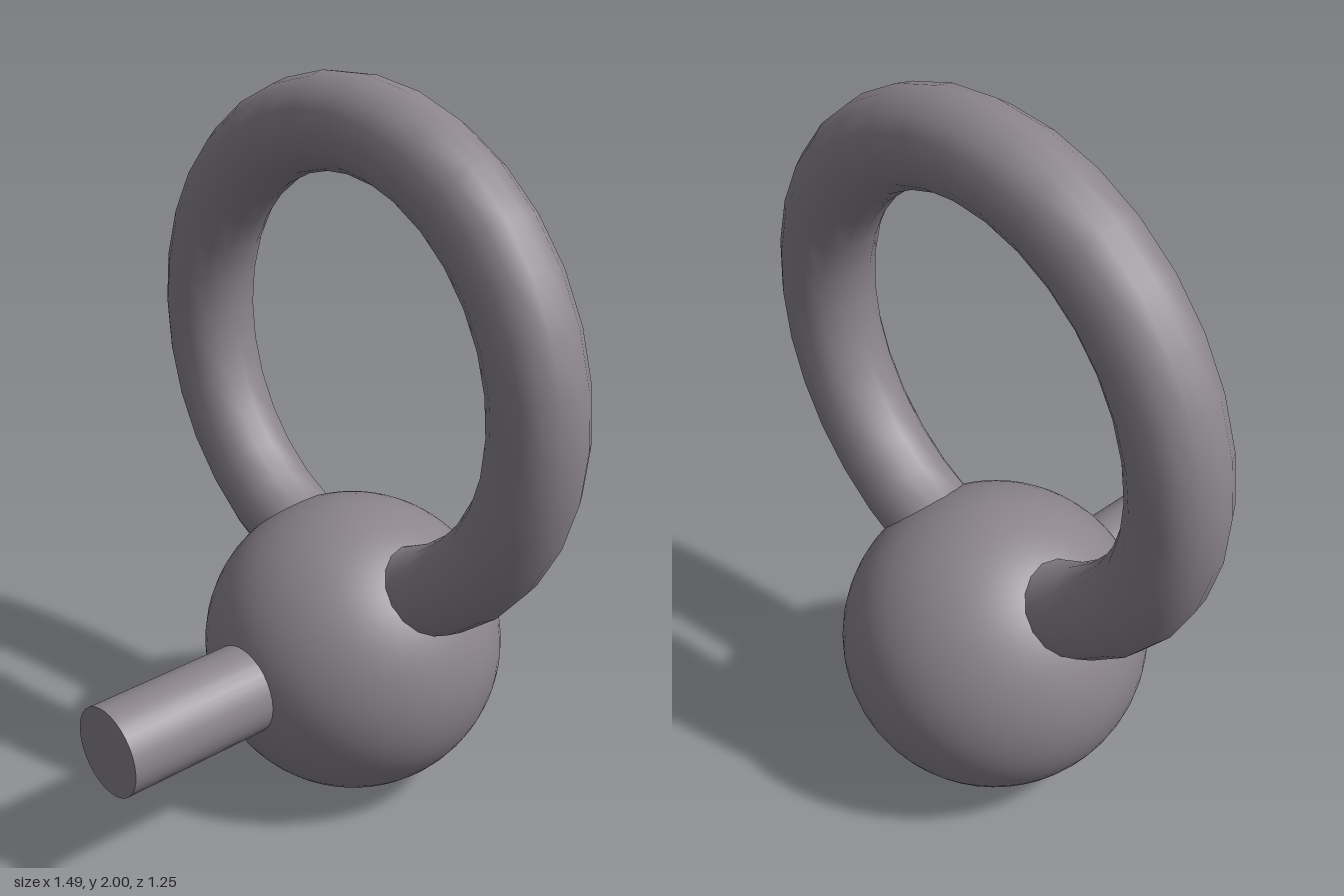
import * as THREE from 'three';

export function createModel() {
  const model = new THREE.Group();
  const material = new THREE.MeshStandardMaterial({ color: 0x8c868c });
  const axisZ = -0.21; // shared plane of the ball and the ring

  const add = (name, geometry, y, z) => {
    const mesh = new THREE.Mesh(geometry, material);
    mesh.name = name;
    mesh.position.set(0, y, z);
    model.add(mesh);
    return mesh;
  };

  // Round body
  add('ball', new THREE.SphereGeometry(0.415, 48, 32), 0.417, axisZ);

  // Upright ring, its lowest part sunk into the ball
  add('ring', new THREE.TorusGeometry(0.624, 0.123, 16, 32), 1.253, axisZ);

  // Peg from the ball's centre out to the front
  const pegEnd = 0.625;
  const pegLength = pegEnd - axisZ;
  const peg = add('peg', new THREE.CylinderGeometry(0.124, 0.124, pegLength, 32),
    0.418, axisZ + pegLength / 2);
  peg.rotation.x = Math.PI / 2;

  return model;
}
